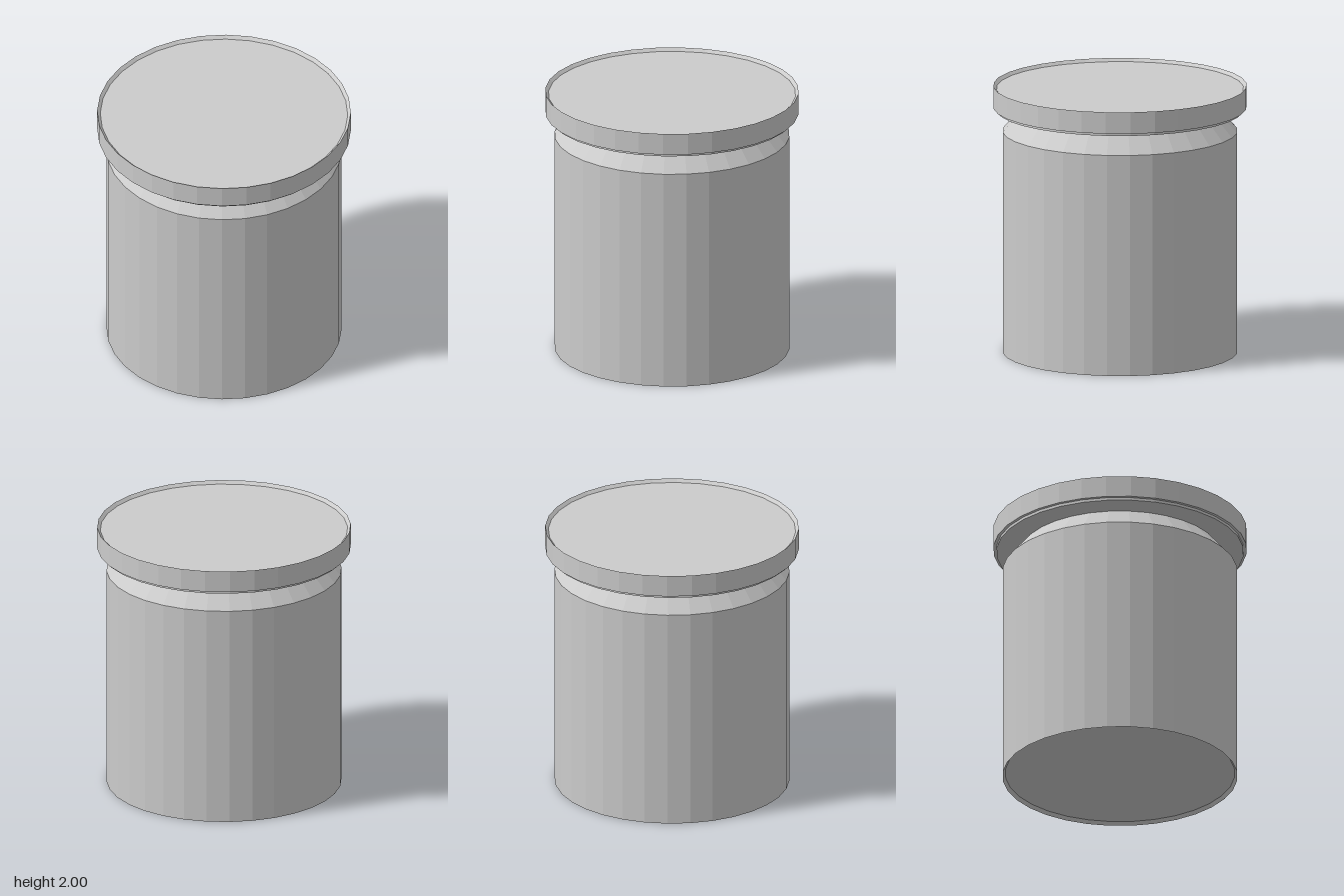
import * as THREE from 'three';

const SIDES = 32;
const material = new THREE.MeshStandardMaterial({ color: 0xcccccc, flatShading: true });

// Turns a closed profile, listed from the lower axis point round to the upper one.
function turned(name, profile) {
  const points = profile.map(([r, y]) => new THREE.Vector2(r, y));
  const mesh = new THREE.Mesh(new THREE.LatheGeometry(points, SIDES), material);
  mesh.name = name;
  return mesh;
}

export function createModel() {
  const group = new THREE.Group();
  group.name = 'jar';

  // Straight jar with a shallow hollow base and a sloping shoulder
  group.add(turned('body', [
    [0, 0.025], [0.845, 0.025], [0.865, 0],
    [0.865, 1.66], [0.73, 1.815], [0.73, 1.83], [0, 1.83],
  ]));

  // Seal under the lid, its underside dipping slightly to the neck
  group.add(turned('seal', [
    [0, 1.81], [0.77, 1.81], [0.91, 1.817], [0.91, 1.845], [0, 1.845],
  ]));

  // Wide lid with a shallow dished top inside a thin rim
  group.add(turned('lid', [
    [0, 1.838], [0.933, 1.838], [0.933, 2], [0.91, 1.977], [0, 1.977],
  ]));

  return group;
}
